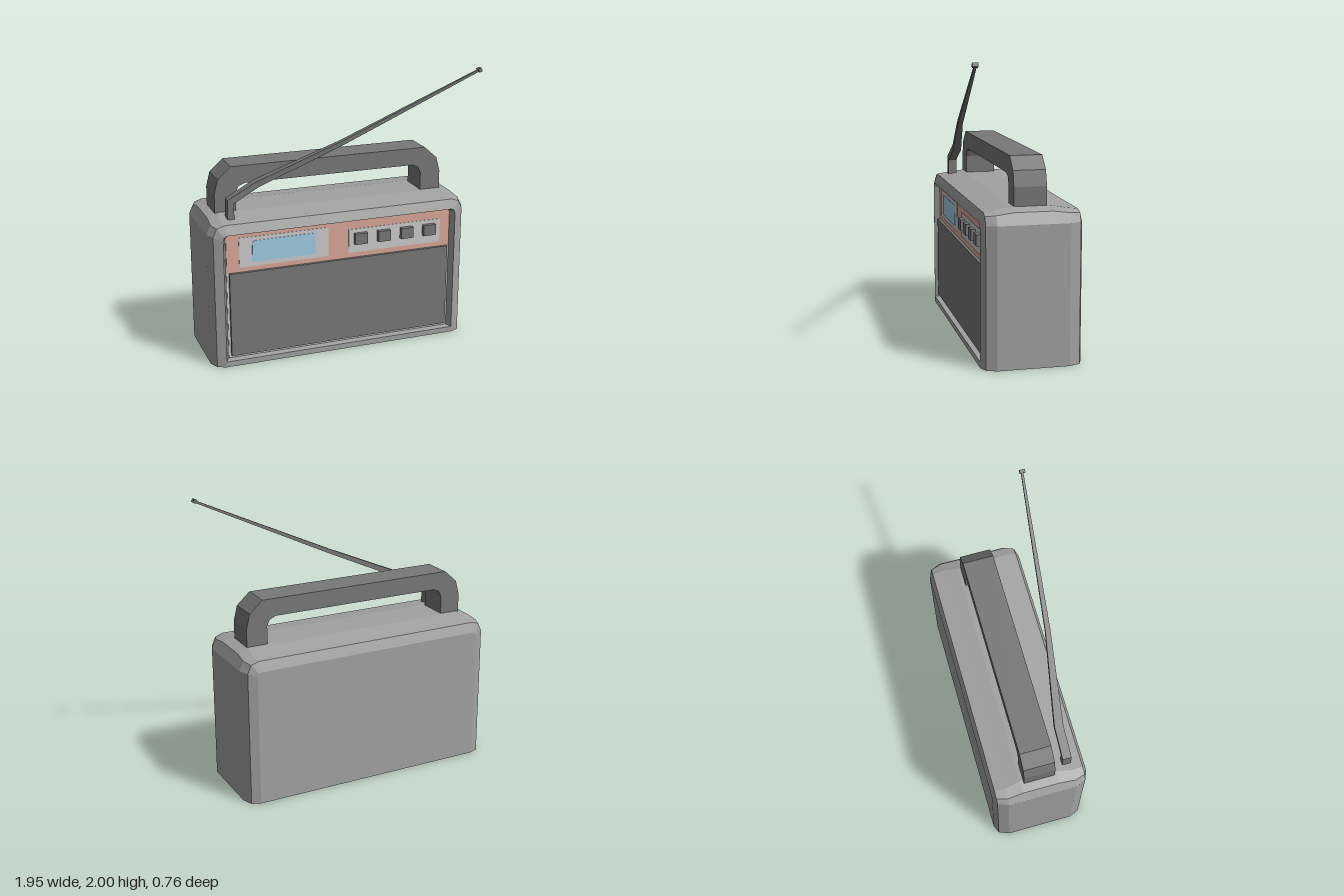
import * as THREE from 'three';

const paint = (color) => new THREE.MeshStandardMaterial({ color, flatShading: true });
const grey = paint(0xcccccc);
const midGrey = paint(0xa2a2a2);
const darkGrey = paint(0x787878);
const salmon = paint(0xdba899);
const blue = paint(0x9ecde4);
const CX = -0.026; // centre line of the cabinet

function mesh(name, geometry, material) {
  const m = new THREE.Mesh(geometry, material);
  m.name = name;
  return m;
}

// Box given by its limits on each axis
function block(name, [x0, x1], [y0, y1], [z0, z1], material) {
  const g = new THREE.BoxGeometry(x1 - x0, y1 - y0, z1 - z0);
  g.translate((x0 + x1) / 2, (y0 + y1) / 2, (z0 + z1) / 2);
  return mesh(name, g, material);
}

// Flat outline pushed forward in z
function plate(name, points, z, depth, material) {
  const shape = new THREE.Shape(points.map(([x, y]) => new THREE.Vector2(x, y)));
  const g = new THREE.ExtrudeGeometry(shape, { depth, bevelEnabled: false });
  g.translate(0, 0, z);
  return mesh(name, g, material);
}

// Skin over matching rings of points, closed at both ends by fans
function loft(rings) {
  const pos = [];
  const tri = (a, b, c) => pos.push(...a, ...b, ...c);
  const n = rings[0].length;
  for (let r = 0; r < rings.length - 1; r++) {
    for (let i = 0; i < n; i++) {
      const j = (i + 1) % n, a = rings[r], b = rings[r + 1];
      tri(a[i], a[j], b[j]);
      tri(a[i], b[j], b[i]);
    }
  }
  const first = rings[0], last = rings[rings.length - 1];
  for (let i = 1; i < n - 1; i++) {
    tri(first[0], first[i + 1], first[i]);
    tri(last[0], last[i], last[i + 1]);
  }
  const g = new THREE.BufferGeometry();
  g.setAttribute('position', new THREE.Float32BufferAttribute(pos, 3));
  g.computeVertexNormals();
  return g;
}

// Cabinet slice: flat bottom, upright sides, chamfered top corners
function slice(z, halfWidth, bottom, shoulder, top, chamfer) {
  const right = [
    [halfWidth, bottom],
    [halfWidth, shoulder],
    [halfWidth - 0.33 * chamfer, shoulder + 0.75 * (top - shoulder)],
    [halfWidth - chamfer, top],
  ];
  const left = right.map(([x, y]) => [-x, y]).reverse();
  return [...right, ...left].map(([x, y]) => [CX + x, y, z]);
}

// Cabinet from back to front, ending in the recessed front
function cabinet() {
  return mesh('cabinet', loft([
    slice(-0.38, 0.865, 0, 0.935, 0.965, 0.03),
    slice(-0.355, 0.925, 0, 0.96, 1.035, 0.08),
    slice(-0.28, 0.955, 0, 0.96, 1.045, 0.1),
    slice(-0.17, 0.955, 0, 0.96, 1.063, 0.12),
    slice(0.09, 0.955, 0, 0.96, 1.063, 0.12),
    slice(0.21, 0.955, 0, 0.96, 1.045, 0.1),
    slice(0.28, 0.925, 0, 0.96, 1.035, 0.08),
    slice(0.305, 0.865, 0, 0.935, 0.97, 0.03),
    slice(0.305, 0.862, 0.04, 0.932, 0.967, 0.03),
    slice(0.257, 0.84, 0.045, 0.925, 0.957, 0.03),
  ]), midGrey);
}

// Arched carrying handle, an outline extruded through its depth
function handle() {
  const outer = [[0.847, 1.04], [0.847, 1.19], [0.82, 1.295], [0.725, 1.38]];
  const inner = [[0.63, 1.255], [0.675, 1.235], [0.695, 1.19], [0.695, 1.04]];
  const mirror = (pts) => pts.map(([x, y]) => [-x, y]).reverse();
  const outline = [...outer, ...mirror(outer), ...mirror(inner), ...inner];
  return plate('handle', outline.map(([x, y]) => [x - 0.035, y]), -0.147, 0.221, darkGrey);
}

// Bent, tapering square antenna with a small tip
function antenna() {
  const group = new THREE.Group();
  group.name = 'antenna';
  // x, y, z, heading in the front plane, half depth, half thickness
  const stations = [
    [-0.803, 1.04, 0.175, 90, 0.031, 0.024],
    [-0.803, 1.17, 0.175, 58, 0.031, 0.026],
    [-0.61, 1.275, 0.173, 26, 0.031, 0.021],
    [-0.02, 1.53, 0.262, 24, 0.018, 0.015],
    [0.95, 1.978, 0.355, 25, 0.008, 0.008],
  ];
  const rings = stations.map(([x, y, z, deg, hz, ht]) => {
    const a = THREE.MathUtils.degToRad(deg);
    const vx = Math.sin(a) * ht, vy = -Math.cos(a) * ht;
    return [[1, 1], [-1, 1], [-1, -1], [1, -1]]
      .map(([u, v]) => [x + v * vx, y + v * vy, z + u * hz]);
  });
  group.add(mesh('antennaRod', loft(rings), darkGrey));
  const tip = mesh('antennaTip', new THREE.BoxGeometry(0.024, 0.026, 0.038), darkGrey);
  tip.position.set(0.956, 1.983, 0.358);
  tip.rotation.z = THREE.MathUtils.degToRad(25);
  group.add(tip);
  return group;
}

// Thin layers of the front panel, with the grille standing proud
function frontPanel() {
  const group = new THREE.Group();
  group.name = 'frontPanel';
  const controlOutline = [
    [-0.86, 0.68], [0.81, 0.68], [0.81, 0.94], [0.795, 0.955], [-0.845, 0.955], [-0.86, 0.94],
  ];
  const displayOutline = [
    [-0.68, 0.745], [-0.218, 0.745], [-0.218, 0.9], [-0.66, 0.9], [-0.675, 0.885],
  ];
  group.add(
    block('backingPlate', [-0.86, 0.81], [0.05, 0.69], [0.25, 0.262], grey),
    plate('controlPanel', controlOutline, 0.25, 0.014, salmon),
    block('speakerGrille', [-0.845, 0.792], [0.068, 0.68], [0.25, 0.285], darkGrey),
    block('displayPlate', [-0.77, -0.122], [0.715, 0.928], [0.255, 0.267], grey),
    plate('display', displayOutline, 0.255, 0.015, blue),
    block('buttonPlate', [0.03, 0.735], [0.718, 0.892], [0.255, 0.267], grey),
  );
  return group;
}

// Row of push buttons
function buttons() {
  const group = new THREE.Group();
  group.name = 'buttons';
  for (let i = 0; i < 4; i++) {
    const x = 0.117 + i * 0.1755;
    group.add(block('button', [x - 0.047, x + 0.047], [0.783, 0.862], [0.26, 0.298], darkGrey));
  }
  return group;
}

export function createModel() {
  const model = new THREE.Group();
  model.name = 'portableRadio';
  model.add(cabinet(), handle(), antenna(), frontPanel(), buttons());
  return model;
}
